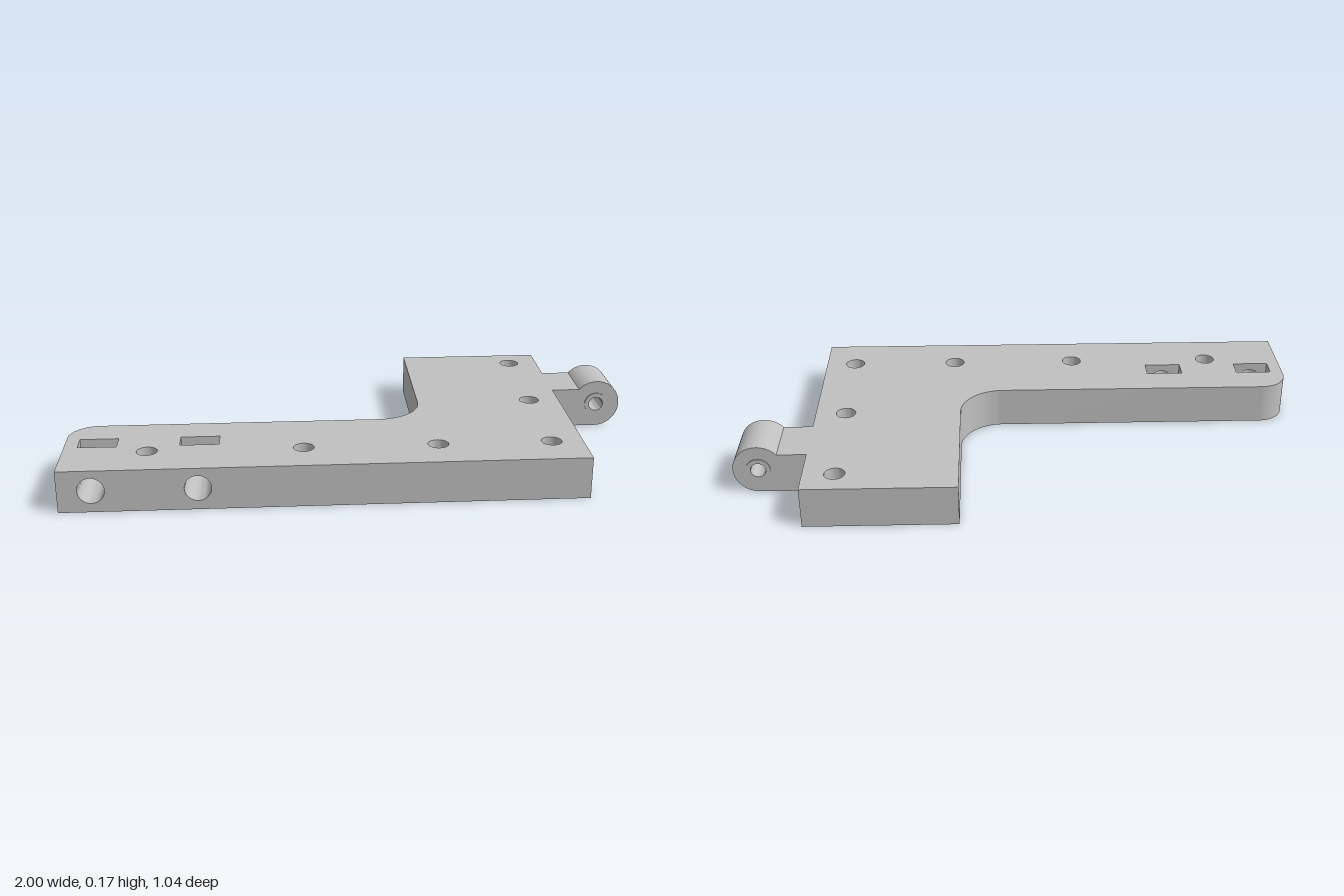
import * as THREE from 'three';
import { toCreasedNormals } from 'three/addons/utils/BufferGeometryUtils.js';

const H = 0.145;                                   // plate thickness
const FRONT = 0.52, SLOT_FRONT = 0.325, SLOT_BACK = 0.255;
const BORE_R = 0.044, BORE_Y = 0.075;
const slots = [[-0.955, -0.825], [-0.615, -0.483]]; // x ranges
const bores = [-0.89, -0.547];
const screwHoles = [[-0.72, 0.37], [-0.2, 0.37], [0.252, 0.37], [0.637, 0.37], [0.637, -0.02], [0.637, -0.43]];

const circle = (x, y, r) => new THREE.Path().absarc(x, y, r, 0, Math.PI * 2, true);

function rect(x0, y0, x1, y1) {
  return new THREE.Shape([[x0, y0], [x1, y0], [x1, y1], [x0, y1]].map(p => new THREE.Vector2(...p)));
}

// Wall swept along +z from a line of points; it faces right of the direction of travel
function ribbon(points, depth) {
  const pos = [];
  for (let i = 0; i < points.length - 1; i++) {
    const a = points[i], b = points[i + 1];
    pos.push(a.x, a.y, 0, b.x, b.y, 0, b.x, b.y, depth, a.x, a.y, 0, b.x, b.y, depth, a.x, a.y, depth);
  }
  const g = new THREE.BufferGeometry();
  g.setAttribute('position', new THREE.Float32BufferAttribute(pos, 3));
  g.computeVertexNormals();
  return toCreasedNormals(g, 0.6);
}

export function createModel() {
  const grey = new THREE.MeshStandardMaterial({ color: 0xc0c0c0, side: THREE.DoubleSide });
  grey.name = 'metal grey';
  const model = new THREE.Group();
  model.name = 'hingeBracket';
  const add = (parent, name, geometry) => {
    const m = new THREE.Mesh(geometry, grey);
    m.name = name;
    parent.add(m);
    return m;
  };

  // L-shaped plate, drawn flat as (x, -z) and laid down
  const plate = new THREE.Group();
  plate.name = 'plate';
  plate.rotation.x = -Math.PI / 2;
  model.add(plate);

  const outline = new THREE.Shape();
  outline.moveTo(0.745, -FRONT);
  outline.lineTo(0.745, 0.525);
  outline.lineTo(0.225, 0.525);
  outline.lineTo(0.225, 0.02);
  outline.absarc(0.07, 0.02, 0.155, 0, -Math.PI / 2, true);
  outline.lineTo(-0.9, -0.135);
  outline.absarc(-0.9, -0.235, 0.1, Math.PI / 2, Math.PI, false);
  outline.lineTo(-1, -FRONT);
  add(plate, 'outerWall', ribbon(outline.getPoints(16), H));

  // Vertical screw holes
  for (const [x, z] of screwHoles) {
    const hole = circle(x, -z, 0.035);
    outline.holes.push(hole);
    add(plate, 'screwHole', ribbon(hole.getPoints(16), H));
  }

  // Rectangular slots: three plain walls each, the front one is bored
  for (const [x0, x1] of slots) {
    const pts = [[x0, -SLOT_FRONT], [x0, -SLOT_BACK], [x1, -SLOT_BACK], [x1, -SLOT_FRONT]]
      .map(p => new THREE.Vector2(...p));
    outline.holes.push(new THREE.Path(pts));
    add(plate, 'slotWall', ribbon(pts, H));
  }

  // Top and bottom faces
  const cap = new THREE.ShapeGeometry(outline, 16);
  add(plate, 'topFace', cap).position.z = H;
  const under = cap.clone();
  under.index.array.reverse();
  const n = under.attributes.normal;
  for (let i = 0; i < n.count; i++) n.setZ(i, -1);
  add(plate, 'bottomFace', under);

  // Front face with its two bores running back into the slots
  const front = rect(-1, 0, 0.745, H);
  bores.forEach((x, i) => {
    const bore = circle(x, BORE_Y, BORE_R);
    front.holes.push(bore);
    add(model, 'frontBore', ribbon(bore.getPoints(16), FRONT - SLOT_FRONT)).position.z = SLOT_FRONT;

    const [x0, x1] = slots[i], mid = (x0 + x1) / 2, half = (x1 - x0) / 2;
    const wall = rect(-half, 0, half, H);
    wall.holes.push(circle(mid - x, BORE_Y, BORE_R));
    const back = add(model, 'boredSlotWall', new THREE.ShapeGeometry(wall, 16));
    back.rotation.y = Math.PI;
    back.position.set(mid, 0, SLOT_FRONT);
  });
  add(model, 'frontFace', new THREE.ShapeGeometry(front, 16)).position.z = FRONT;

  // Hinge tab ending in a round knuckle
  const cx = 0.9125, r = 0.0875, pin = 0.026;
  const meet = Math.PI - Math.asin((H - r) / r);
  const tab = new THREE.Shape();
  tab.moveTo(0.745, 0);
  tab.lineTo(cx, 0);
  tab.absarc(cx, r, r, -Math.PI / 2, meet, false);
  tab.lineTo(0.745, H);
  tab.holes.push(circle(cx, r, pin));
  const extrude = (shape, depth) => toCreasedNormals(
    new THREE.ExtrudeGeometry(shape, { depth, bevelEnabled: false, curveSegments: 28 }), 0.6);
  add(model, 'hingeKnuckle', extrude(tab, 0.19)).position.z = -0.305;

  // Thin raised rings round the pin hole on both ends
  const ring = new THREE.Shape().absarc(cx, r, 0.042, 0, Math.PI * 2, false);
  ring.holes.push(circle(cx, r, pin));
  for (const z of [-0.309, -0.115]) add(model, 'knuckleRing', extrude(ring, 0.004)).position.z = z;

  return model;
}
